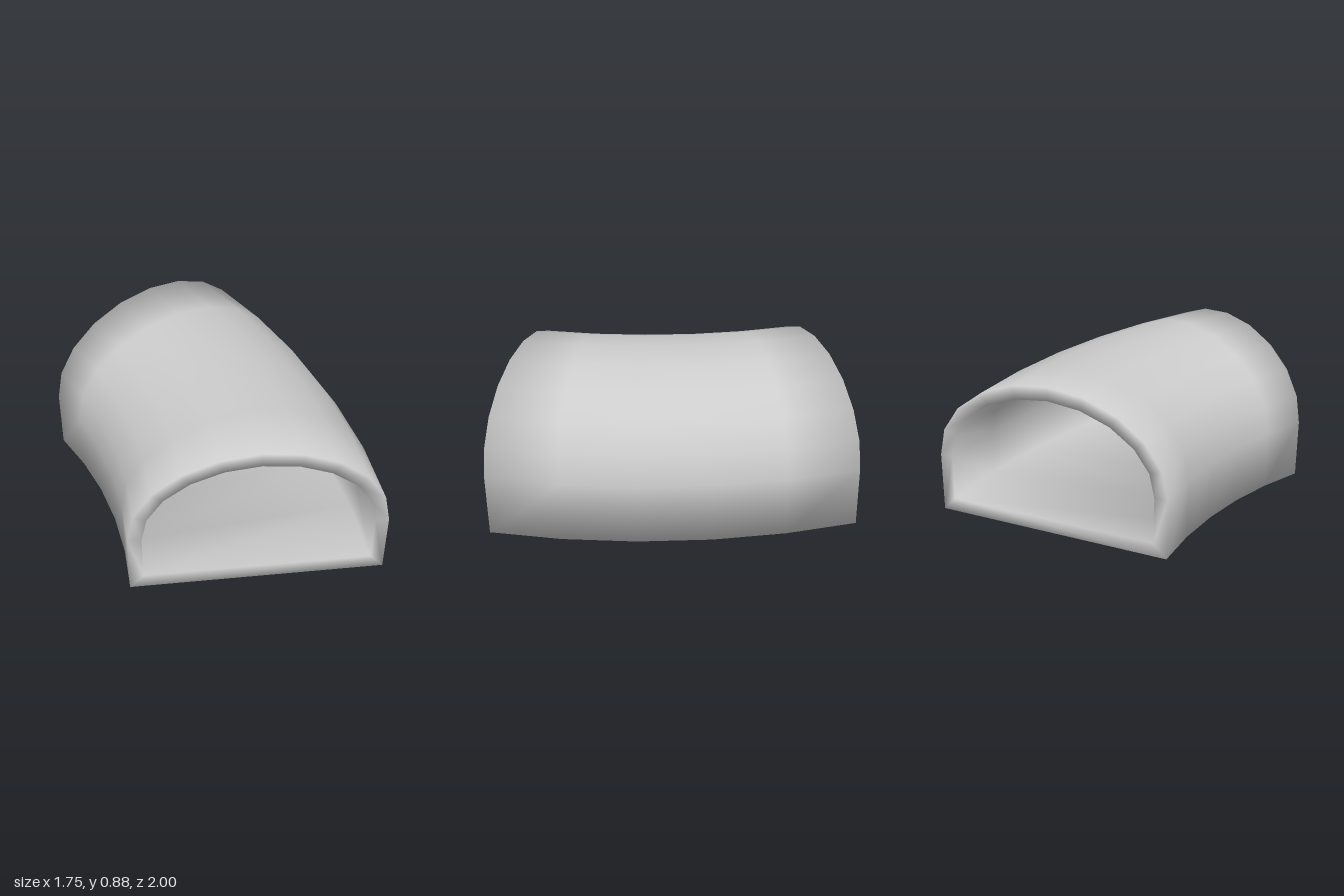
import * as THREE from 'three';

const BEND_RADIUS = 3.3, BEND_ANGLE = Math.PI / 6, SEGMENTS = 5;
const CENTRE_X = 0.17 - BEND_RADIUS, START_Z = 1;

// Arch cross-section: straight walls, elliptical vault, flat floor
function archProfile(halfWidth, floorY, springY, rise, steps = 10) {
  const points = [new THREE.Vector2(halfWidth, floorY)];
  for (let i = 0; i <= steps; i++) {
    const a = (i / steps) * Math.PI;
    points.push(new THREE.Vector2(halfWidth * Math.cos(a), springY + rise * Math.sin(a)));
  }
  points.push(new THREE.Vector2(-halfWidth, floorY));
  return points;
}

// Averaged outward normals of a closed counterclockwise profile
function profileNormals(points) {
  const n = points.length;
  const edge = (a, b) => new THREE.Vector2(b.y - a.y, a.x - b.x).normalize();
  return points.map((p, k) =>
    edge(points[(k + n - 1) % n], p).add(edge(p, points[(k + 1) % n])).normalize());
}

// Sweep the outer and inner profiles along the bend and join them at both rims
function curvedTunnelGeometry() {
  const outer = archProfile(0.7, 0, 0.35, 0.525);
  const inner = archProfile(0.625, 0.08, 0.35, 0.447);
  const loops = [
    { points: outer, normals: profileNormals(outer) },
    { points: inner, normals: profileNormals(inner).map(v => v.negate()) },
  ];
  const count = outer.length;
  const positions = [], normals = [], index = [];

  for (let i = 0; i <= SEGMENTS; i++) {
    const angle = (i / SEGMENTS) * BEND_ANGLE;
    const c = Math.cos(angle), s = Math.sin(angle);
    // Rim vertices blend towards the end of the tunnel
    const end = i === 0 ? 1 : i === SEGMENTS ? -1 : 0;
    for (const loop of loops) {
      loop.points.forEach((p, k) => {
        const r = BEND_RADIUS + p.x, n = loop.normals[k];
        positions.push(CENTRE_X + r * c, p.y, START_Z - r * s);
        const v = new THREE.Vector3(n.x * c + end * s, n.y, -n.x * s + end * c).normalize();
        normals.push(v.x, v.y, v.z);
      });
    }
  }

  const id = (ring, loop, k) => (ring * 2 + loop) * count + (k % count);
  const quad = (a, b, c, d) => index.push(a, b, c, a, c, d);
  for (let k = 0; k < count; k++) {
    for (let i = 0; i < SEGMENTS; i++) {
      quad(id(i, 0, k), id(i + 1, 0, k), id(i + 1, 0, k + 1), id(i, 0, k + 1));
      quad(id(i, 1, k), id(i, 1, k + 1), id(i + 1, 1, k + 1), id(i + 1, 1, k));
    }
    quad(id(0, 0, k), id(0, 0, k + 1), id(0, 1, k + 1), id(0, 1, k));
    const e = SEGMENTS;
    quad(id(e, 0, k), id(e, 1, k), id(e, 1, k + 1), id(e, 0, k + 1));
  }

  const geometry = new THREE.BufferGeometry();
  geometry.setAttribute('position', new THREE.Float32BufferAttribute(positions, 3));
  geometry.setAttribute('normal', new THREE.Float32BufferAttribute(normals, 3));
  geometry.setIndex(index);
  return geometry;
}

export function createModel() {
  const group = new THREE.Group();
  group.name = 'curvedTunnel';
  const material = new THREE.MeshStandardMaterial({ color: 0xcccccc });
  material.name = 'lightGrey';
  const shell = new THREE.Mesh(curvedTunnelGeometry(), material);
  shell.name = 'tunnelShell';
  group.add(shell);
  return group;
}
